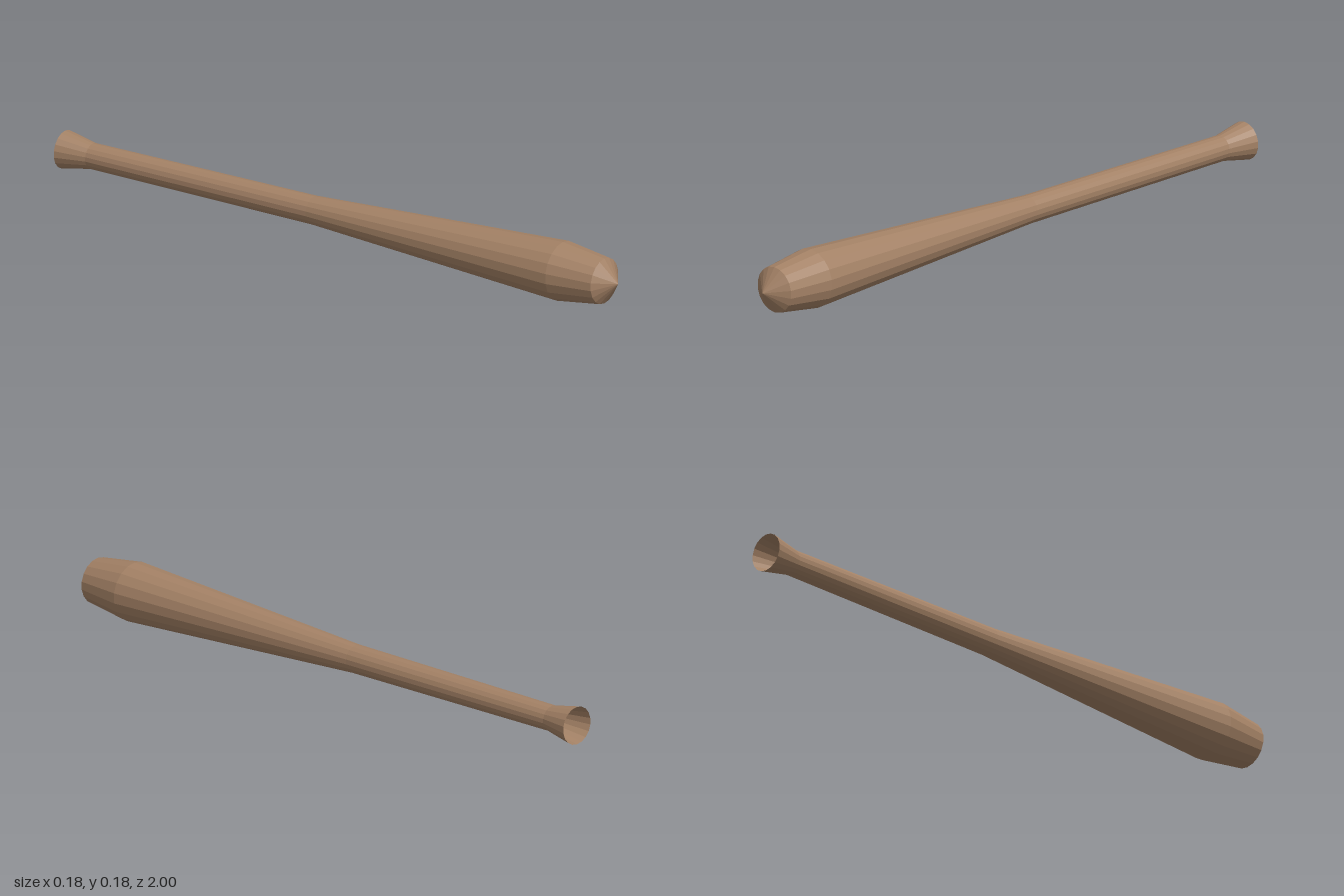
import * as THREE from 'three';

export function createModel() {
  const group = new THREE.Group();
  group.name = 'bat';
  const wood = new THREE.MeshStandardMaterial({ color: 0xa38165, flatShading: true, side: THREE.DoubleSide });
  wood.name = 'wood';

  // Each part is an 18-sided turned section; profile points are [radius, z]
  const turned = (name, profile) => {
    const points = profile.map(([r, z]) => new THREE.Vector2(r, z));
    const geometry = new THREE.LatheGeometry(points, 18).rotateX(Math.PI / 2);
    const mesh = new THREE.Mesh(geometry, wood);
    mesh.name = name;
    mesh.position.y = 0.09;
    group.add(mesh);
  };

  // Flared, hollow handle end
  turned('knob', [[0.058, -1], [0.039, -0.9]]);
  // Slim grip
  turned('handle', [[0.039, -0.9], [0.043, -0.1]]);
  // Widening hitting section with rounded-in end
  turned('barrel', [[0.043, -0.1], [0.09, 0.8], [0.07, 0.95]]);
  // Pointed end cap
  turned('tip', [[0.07, 0.95], [0, 1]]);

  return group;
}
